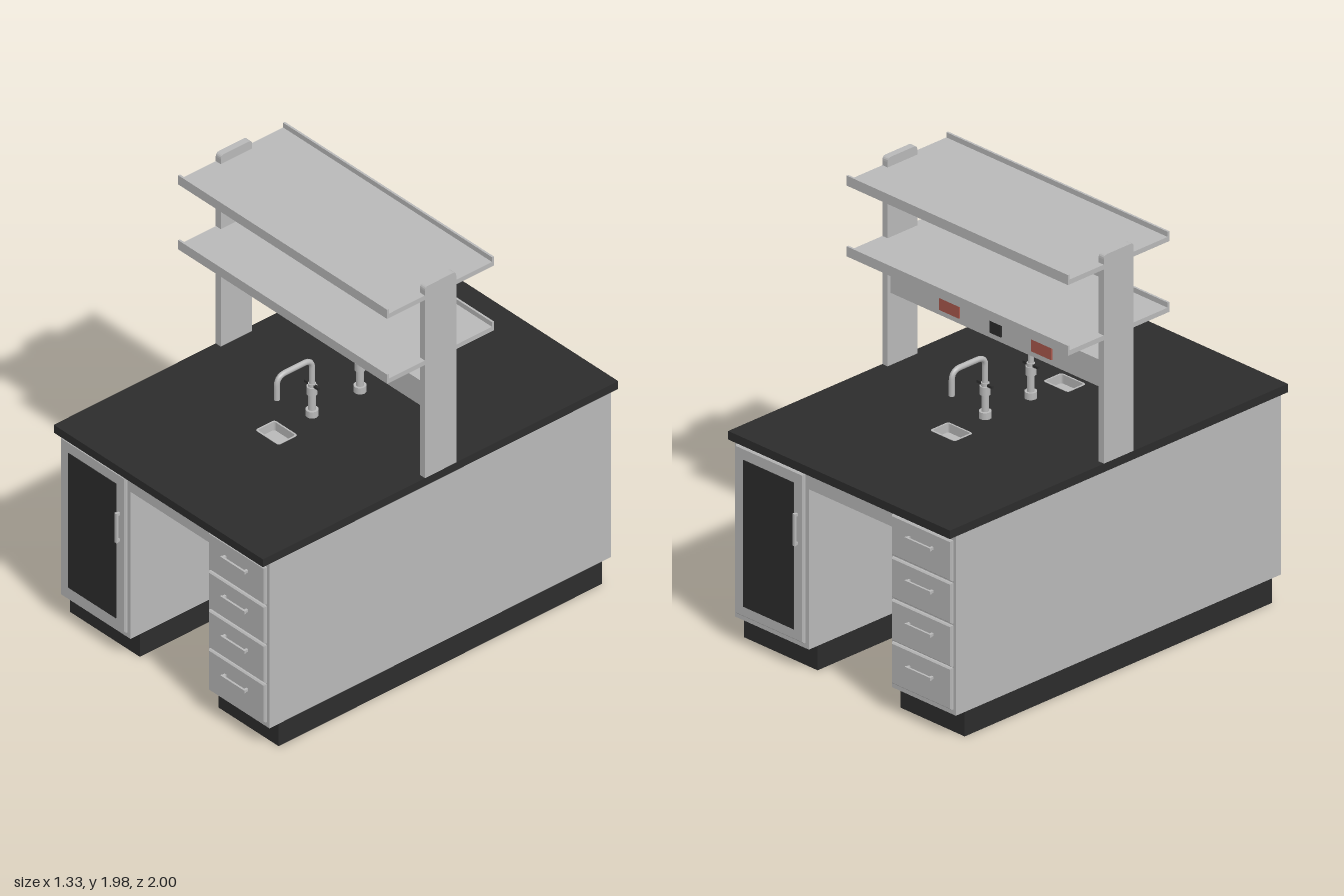
import * as THREE from 'three';

const painted = new THREE.MeshStandardMaterial({ color: 0xb8b8b8 });
painted.name = 'light grey';
const dark = new THREE.MeshStandardMaterial({ color: 0x2c2c2c });
dark.name = 'charcoal';
const red = new THREE.MeshStandardMaterial({ color: 0xa8574b });
red.name = 'outlet red';

const HALF_W = 0.665;

function add(parent, name, geometry, material, x = 0, y = 0, z = 0) {
  const mesh = new THREE.Mesh(geometry, material);
  mesh.name = name;
  mesh.position.set(x, y, z);
  parent.add(mesh);
  return mesh;
}

// Box given by its limits on each axis
function box(parent, name, material, x0, x1, y0, y1, z0, z1) {
  return add(parent, name, new THREE.BoxGeometry(x1 - x0, y1 - y0, z1 - z0), material,
    (x0 + x1) / 2, (y0 + y1) / 2, (z0 + z1) / 2);
}

function roundedRect(path, x0, x1, y0, y1, r) {
  path.moveTo(x0 + r, y0);
  path.lineTo(x1 - r, y0);
  path.quadraticCurveTo(x1, y0, x1, y0 + r);
  path.lineTo(x1, y1 - r);
  path.quadraticCurveTo(x1, y1, x1 - r, y1);
  path.lineTo(x0 + r, y1);
  path.quadraticCurveTo(x0, y1, x0, y1 - r);
  path.lineTo(x0, y0 + r);
  path.quadraticCurveTo(x0, y0, x0 + r, y0);
  return path;
}

// Plan outline (x, -z) raised from y0 to y1
function raise(shape, y0, y1) {
  const g = new THREE.ExtrudeGeometry(shape, { depth: y1 - y0, bevelEnabled: false, curveSegments: 4 });
  g.rotateX(-Math.PI / 2);
  g.translate(0, y0, 0);
  return g;
}

// Block with a knee recess cut into each long end
function kneePlan(halfDepth) {
  const w = HALF_W, d = halfDepth, k = 0.33;
  return new THREE.Shape([
    [-w, -d], [-0.22, -d], [-0.22, -k], [0.28, -k], [0.28, -d], [w, -d],
    [w, d], [0.22, d], [0.22, k], [-0.28, k], [-0.28, d], [-w, d],
  ].map(([x, y]) => new THREE.Vector2(x, y)));
}

// Front panel with chamfered edges, standing on the cabinet face
function frontPanel(parent, name, x0, x1, y0, y1) {
  const b = 0.006;
  const s = new THREE.Shape([
    new THREE.Vector2(x0 + b, y0 + b), new THREE.Vector2(x1 - b, y0 + b),
    new THREE.Vector2(x1 - b, y1 - b), new THREE.Vector2(x0 + b, y1 - b),
  ]);
  const g = new THREE.ExtrudeGeometry(s, {
    depth: 0.008, bevelEnabled: true, bevelSize: b, bevelThickness: b, bevelSegments: 1,
  });
  return add(parent, name, g, painted, 0, 0, 0.962);
}

// Bar pull with two short feet
function pull(parent, name, x, y, length, upright, reach) {
  const g = new THREE.Group();
  g.name = name;
  g.position.set(x, y, 0.975);
  if (upright) g.rotation.z = Math.PI / 2;
  const h = length / 2;
  box(g, 'bar', painted, -h, h, -0.007, 0.007, reach - 0.01, reach);
  for (const s of [-1, 1]) {
    const c = s * (h - 0.008);
    box(g, 'foot', painted, c - 0.006, c + 0.006, -0.006, 0.006, 0, reach - 0.005);
  }
  parent.add(g);
}

function faucet() {
  const g = new THREE.Group();
  g.name = 'faucet';
  const column = (name, r, y0, y1) =>
    add(g, name, new THREE.CylinderGeometry(r, r, y1 - y0, 12), painted, 0, (y0 + y1) / 2, 0.135);
  column('baseFlange', 0.028, 1.0, 1.032);
  column('stem', 0.017, 1.03, 1.115);
  column('collar', 0.024, 1.11, 1.15);
  column('neckRing', 0.018, 1.15, 1.165);
  box(g, 'lever', dark, -0.045, 0.045, 1.15, 1.162, 0.129, 0.141);

  // Gooseneck spout
  const path = new THREE.CurvePath();
  const v = (y, z) => new THREE.Vector3(0, y, z);
  path.add(new THREE.LineCurve3(v(1.16, 0.135), v(1.245, 0.135)));
  path.add(new THREE.QuadraticBezierCurve3(v(1.245, 0.135), v(1.287, 0.135), v(1.287, 0.18)));
  path.add(new THREE.LineCurve3(v(1.287, 0.18), v(1.287, 0.285)));
  path.add(new THREE.QuadraticBezierCurve3(v(1.287, 0.285), v(1.287, 0.333), v(1.24, 0.333)));
  path.add(new THREE.LineCurve3(v(1.24, 0.333), v(1.17, 0.333)));
  add(g, 'spout', new THREE.TubeGeometry(path, 28, 0.013, 10), painted);
  add(g, 'spoutEnd', new THREE.CircleGeometry(0.013, 10), painted, 0, 1.17, 0.333).rotation.x = Math.PI / 2;
  return g;
}

// Everything that repeats on each working side
function workSide(name) {
  const g = new THREE.Group();
  g.name = name;

  // Cupboard door with dark pane
  frontPanel(g, 'door', -0.65, -0.24, 0.14, 0.935);
  box(g, 'doorPane', dark, -0.6, -0.295, 0.19, 0.88, 0.973, 0.979);
  pull(g, 'doorHandle', -0.277, 0.67, 0.15, true, 0.022);

  // Drawer stack
  [[0.14, 0.335], [0.342, 0.535], [0.545, 0.735], [0.745, 0.935]].forEach(([y0, y1], i) => {
    frontPanel(g, 'drawer', 0.29, 0.65, y0, y1);
    pull(g, 'drawerHandle', 0.47, 0.257 + i * 0.203, 0.155, false, 0.024);
  });

  // Cup sink liner, set into the worktop opening
  const liner = roundedRect(new THREE.Shape(), -0.075, 0.075, -0.39, -0.28, 0.015);
  liner.holes.push(roundedRect(new THREE.Path(), -0.067, 0.067, -0.382, -0.288, 0.012));
  add(g, 'sinkLiner', raise(liner, 0.96, 1.002), painted);
  g.add(faucet());

  // Outlets on the service rail
  for (const x of [-0.278, 0.278]) box(g, 'redOutlet', red, x - 0.06, x + 0.06, 1.367, 1.442, 0.068, 0.077);
  box(g, 'darkOutlet', dark, -0.034, 0.034, 1.367, 1.442, 0.068, 0.077);
  return g;
}

export function createModel() {
  const model = new THREE.Group();
  model.name = 'islandBench';

  // Plinth, cabinet carcass and top band
  add(model, 'plinth', raise(kneePlan(0.91), 0, 0.115), dark);
  add(model, 'carcass', raise(kneePlan(0.962), 0.115, 0.87), painted);
  box(model, 'topBand', painted, -HALF_W, HALF_W, 0.87, 0.96, -0.962, 0.962);

  // Worktop with two sink openings
  const top = new THREE.Shape([
    new THREE.Vector2(-0.667, -1), new THREE.Vector2(0.667, -1),
    new THREE.Vector2(0.667, 1), new THREE.Vector2(-0.667, 1),
  ]);
  top.holes.push(roundedRect(new THREE.Path(), -0.075, 0.075, -0.39, -0.28, 0.015));
  top.holes.push(roundedRect(new THREE.Path(), -0.075, 0.075, 0.28, 0.39, 0.015));
  add(model, 'worktop', raise(top, 0.96, 1.0), dark);

  // Posts with rounded tops
  for (const s of [-1, 1]) {
    const profile = new THREE.Shape();
    profile.moveTo(-0.088, 1);
    profile.lineTo(0.088, 1);
    profile.lineTo(0.088, 1.96);
    profile.quadraticCurveTo(0.088, 1.98, 0.068, 1.98);
    profile.lineTo(-0.068, 1.98);
    profile.quadraticCurveTo(-0.088, 1.98, -0.088, 1.96);
    const g = new THREE.ExtrudeGeometry(profile, { depth: 0.032, bevelEnabled: false, curveSegments: 4 });
    g.translate(0, 0, -0.016);
    g.rotateY(Math.PI / 2);
    add(model, 'post', g, painted, s * 0.651, 0, 0);
  }

  // Shelves with raised lips
  for (const y of [1.58, 1.913]) {
    box(model, 'shelf', painted, -0.666, 0.666, y, y + 0.023, -0.3, 0.3);
    for (const s of [-1, 1]) {
      box(model, 'shelfLip', painted, -0.666, 0.666, y, y + 0.047, s * 0.295 - 0.005, s * 0.295 + 0.005);
    }
  }

  // Service rail between the posts
  box(model, 'serviceRail', painted, -0.636, 0.636, 1.34, 1.467, -0.07, 0.07);

  const front = workSide('frontSide');
  const back = workSide('backSide');
  back.rotation.y = Math.PI;
  model.add(front, back);
  return model;
}
